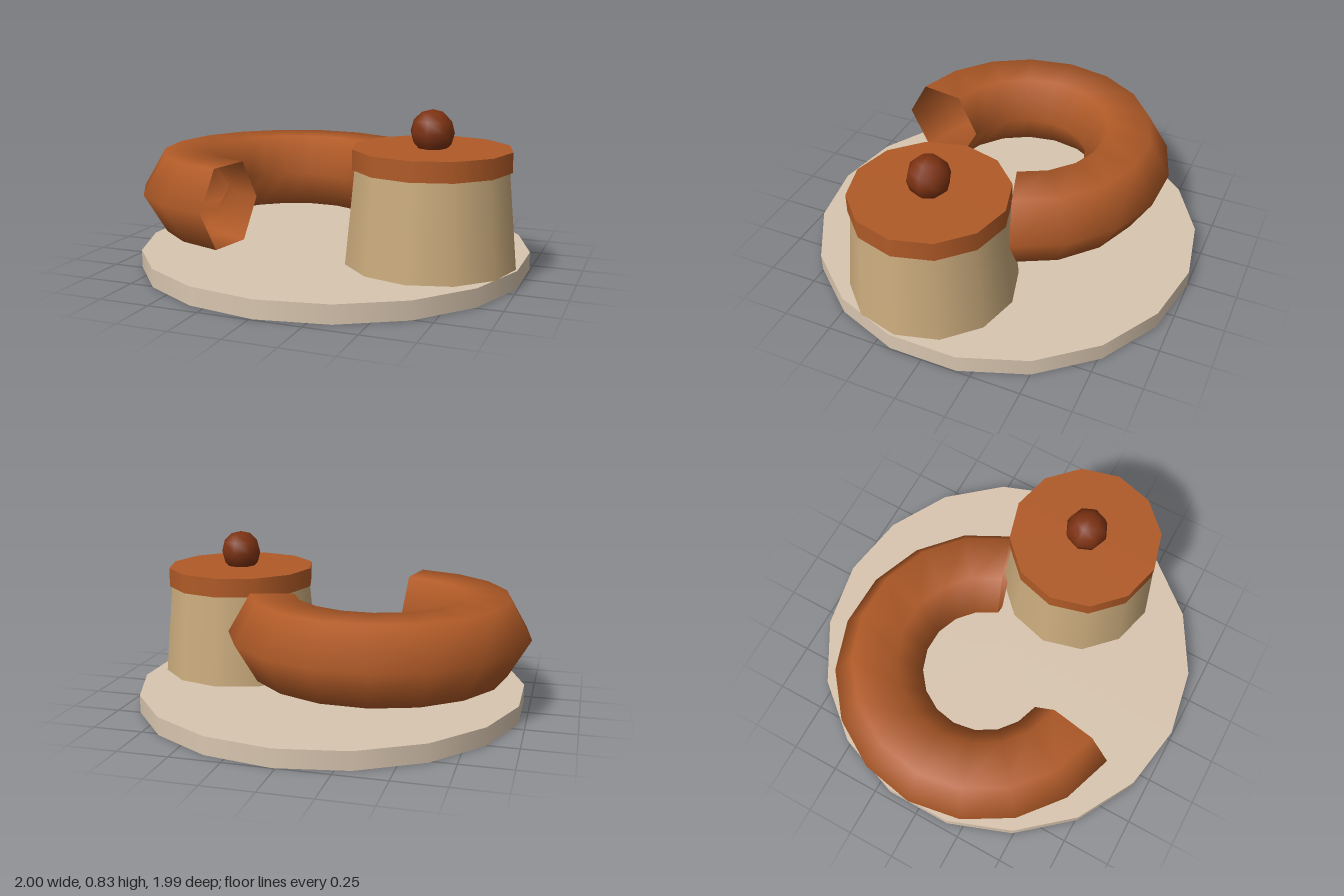
import * as THREE from 'three';

function material(name, color, side = THREE.FrontSide) {
  const m = new THREE.MeshStandardMaterial({ color, side });
  m.name = name;
  return m;
}

export function createModel() {
  const group = new THREE.Group();
  const cream = material('cream', 0xd8c5af);
  const tan = material('tan', 0xc9aa7c);
  const orange = material('burnt orange', 0xb05a27, THREE.DoubleSide);
  const brown = material('dark brown', 0x7c3212);

  const add = (name, geometry, mat, x, y, z) => {
    const mesh = new THREE.Mesh(geometry, mat);
    mesh.name = name;
    mesh.position.set(x, y, z);
    group.add(mesh);
    return mesh;
  };

  // Round serving plate
  add('plate', new THREE.CylinderGeometry(0.995, 0.995, 0.09, 18), cream, 0.015, 0.045, -0.005);

  // Curved ring section, open at both ends, lying above the plate
  const ring = new THREE.TorusGeometry(0.545, 0.225, 6, 12, 4.25);
  ring.rotateZ(0.3);
  ring.rotateX(-Math.PI / 2);
  add('curvedSausage', ring, orange, -0.232, 0.377, 0);

  // Tapered pot with lid and knob
  const px = 0.565, pz = 0.147;
  add('pot', new THREE.CylinderGeometry(0.375, 0.42, 0.47, 12), tan, px, 0.32, pz);
  add('lid', new THREE.CylinderGeometry(0.387, 0.387, 0.097, 12), orange, px, 0.6, pz);
  add('knob', new THREE.SphereGeometry(0.108, 8, 6), brown, px, 0.724, pz);

  return group;
}
